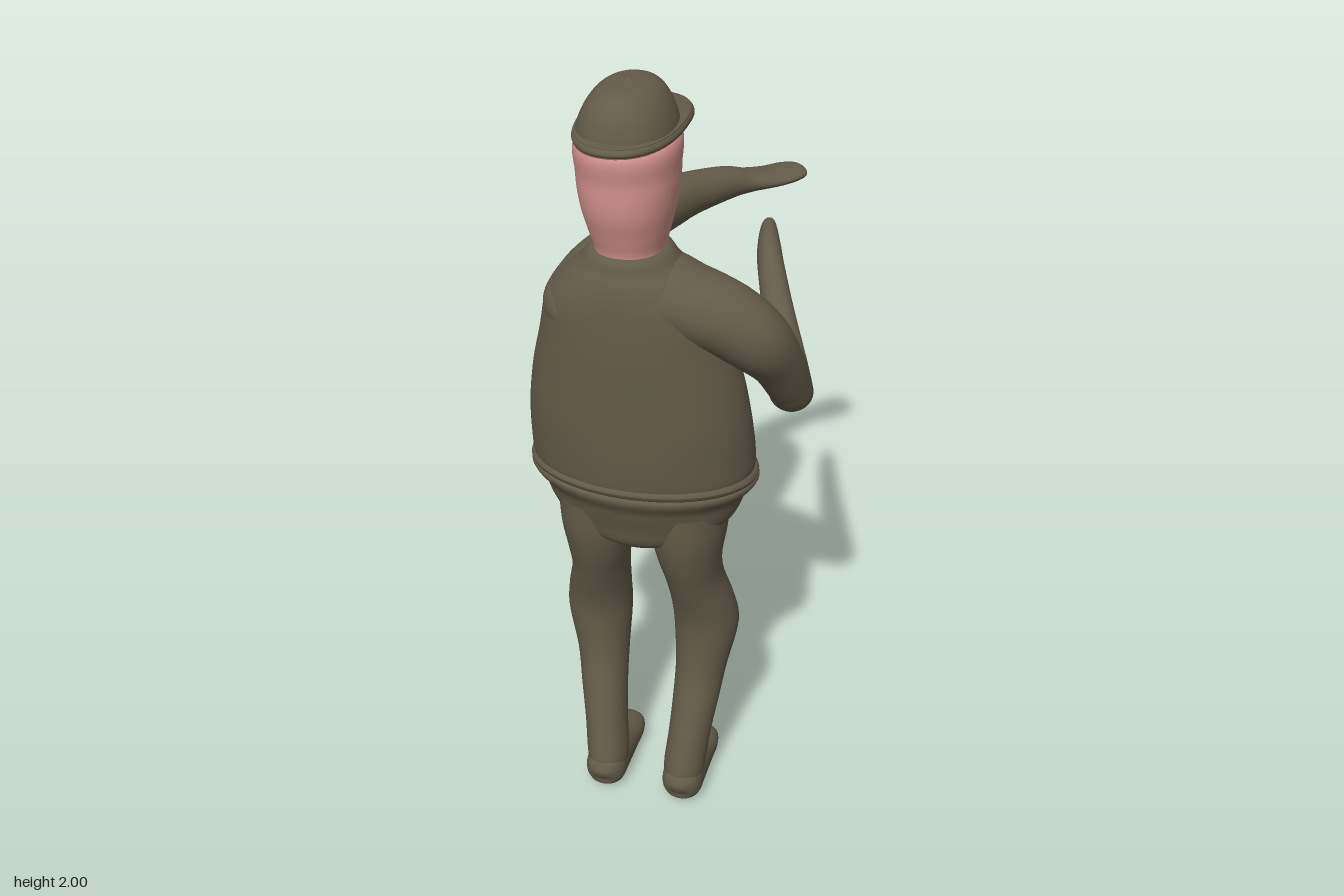
import * as THREE from 'three';

const olive = new THREE.MeshStandardMaterial({ color: 0x645c4a });
olive.name = 'olive cloth';
const skin = new THREE.MeshStandardMaterial({ color: 0xd8958f });
skin.name = 'skin';

const MID = -0.055; // the body's own centre line
const UP = new THREE.Vector3(0, 1, 0);

// Smooth closed loft through rows of [x, y, z, radiusAcross, radiusThrough].
// level = true keeps every ring horizontal (rows run upwards); otherwise rings follow the path.
// power > 2 gives boxier ovals.
function loft(rows, { level = false, power = 2, steps = 6, sides = 32 } = {}) {
  const path = new THREE.CatmullRomCurve3(rows.map(r => new THREE.Vector3(r[0], r[1], r[2])), false, 'catmullrom', 0.5);
  const size = new THREE.CatmullRomCurve3(rows.map(r => new THREE.Vector3(r[3], r[4], 0)), false, 'catmullrom', 0.5);
  const n = (rows.length - 1) * steps;
  const pos = [], index = [];
  const bend = c => Math.sign(c) * Math.pow(Math.abs(c), 2 / power);
  for (let i = 0; i <= n; i++) {
    const c = path.getPoint(i / n), s = size.getPoint(i / n);
    const t = level ? UP : path.getTangent(i / n);
    const u = level ? new THREE.Vector3(1, 0, 0) : new THREE.Vector3().crossVectors(t, UP).normalize();
    const v = new THREE.Vector3().crossVectors(t, u);
    for (let j = 0; j < sides; j++) {
      const a = j / sides * Math.PI * 2;
      const p = c.clone()
        .addScaledVector(u, bend(Math.cos(a)) * Math.max(s.x, 0.0005))
        .addScaledVector(v, bend(Math.sin(a)) * Math.max(s.y, 0.0005));
      pos.push(p.x, p.y, p.z);
      if (i < n) {
        const k = (j + 1) % sides, A = i * sides + j, B = i * sides + k;
        index.push(A, B, B + sides, A, B + sides, A + sides);
      }
    }
  }
  const g = new THREE.BufferGeometry();
  g.setAttribute('position', new THREE.Float32BufferAttribute(pos, 3));
  g.setIndex(index);
  g.computeVertexNormals();
  return g;
}

// Rows of [y, z, radiusX, radiusZ] stacked on one vertical line
const stack = (x, rows) => rows.map(([y, z, rx, rz]) => [x, y, z, rx, rz]);

export function createModel() {
  const model = new THREE.Group();
  model.name = 'figure';
  const add = (name, geometry, material = olive) => {
    const m = new THREE.Mesh(geometry, material);
    m.name = name;
    model.add(m);
    return m;
  };

  // Jacket body, tapering to the neck
  add('jacket', loft(stack(MID, [
    [1.02, 0.30, 0.24, 0.16], [1.04, 0.303, 0.268, 0.178], [1.1, 0.31, 0.271, 0.18],
    [1.2, 0.328, 0.264, 0.168], [1.3, 0.34, 0.248, 0.158], [1.4, 0.355, 0.222, 0.146],
    [1.5, 0.365, 0.198, 0.134], [1.56, 0.369, 0.155, 0.124], [1.6, 0.371, 0.112, 0.108],
    [1.632, 0.371, 0.08, 0.089], [1.64, 0.371, 0, 0],
  ]), { level: true, sides: 48 }));

  // Rolled hem, tipped slightly down towards the toes
  const hem = new THREE.TorusGeometry(1, 0.06, 12, 64).rotateX(Math.PI / 2);
  const hp = hem.attributes.position;
  for (let i = 0; i < hp.count; i++) {
    const x = hp.getX(i), y = hp.getY(i), z = hp.getZ(i), r = Math.hypot(x, z);
    const off = (r - 1) * 0.28;
    hp.setXYZ(i, MID + x / r * (0.262 + off), 1.03 + y * 0.28 + z / r * 0.014, 0.30 + z / r * (0.172 + off));
  }
  hem.computeVertexNormals();
  add('jacketHem', hem);

  // Seat of the trousers
  add('hips', loft(stack(MID, [
    [0.805, 0.315, 0, 0], [0.825, 0.314, 0.07, 0.07], [0.86, 0.31, 0.165, 0.118],
    [0.91, 0.303, 0.222, 0.14], [0.97, 0.298, 0.248, 0.162], [1.03, 0.298, 0.264, 0.174],
    [1.04, 0.298, 0, 0],
  ]), { level: true, sides: 48 }));

  // Legs and feet, mirrored about the centre line
  for (const s of [-1, 1]) {
    const X = d => MID + s * d;
    const side = s < 0 ? 'first' : 'second';
    add(side + 'Leg', loft([
      [X(0.106), 0.04, 0.345, 0.045, 0.055], [X(0.106), 0.1, 0.342, 0.054, 0.066],
      [X(0.115), 0.2, 0.32, 0.055, 0.066], [X(0.125), 0.3, 0.293, 0.06, 0.069],
      [X(0.133), 0.4, 0.265, 0.067, 0.075], [X(0.142), 0.52, 0.25, 0.082, 0.086],
      [X(0.137), 0.6, 0.263, 0.08, 0.084], [X(0.122), 0.7, 0.292, 0.072, 0.089],
      [X(0.115), 0.78, 0.313, 0.079, 0.097], [X(0.113), 0.86, 0.312, 0.093, 0.116],
      [X(0.112), 0.95, 0.305, 0.1, 0.13],
    ], { level: true }));
    add(side + 'Foot', loft([
      [X(0.106), 0.055, 0.411, 0, 0], [X(0.106), 0.058, 0.403, 0.035, 0.04],
      [X(0.106), 0.062, 0.375, 0.052, 0.056], [X(0.106), 0.061, 0.32, 0.054, 0.058],
      [X(0.106), 0.05, 0.25, 0.053, 0.046], [X(0.106), 0.045, 0.19, 0.053, 0.038],
      [X(0.106), 0.043, 0.153, 0.04, 0.028], [X(0.106), 0.043, 0.138, 0, 0],
    ], { power: 2.3 }));
  }

  // Arm stretched out ahead, palm flat
  add('outstretchedArm', loft([
    [-0.165, 1.46, 0.45, 0, 0], [-0.172, 1.465, 0.435, 0.05, 0.055], [-0.185, 1.475, 0.37, 0.075, 0.075],
    [-0.2, 1.488, 0.25, 0.052, 0.064], [-0.177, 1.488, 0.1, 0.046, 0.058], [-0.15, 1.485, -0.02, 0.046, 0.056],
    [-0.118, 1.485, -0.165, 0.056, 0.063], [-0.083, 1.483, -0.24, 0.051, 0.056],
    [-0.02, 1.475, -0.34, 0.045, 0.043], [0.022, 1.464, -0.397, 0.046, 0.03],
    [0.075, 1.459, -0.448, 0.055, 0.021], [0.115, 1.459, -0.49, 0.052, 0.019],
    [0.138, 1.459, -0.515, 0.036, 0.014], [0.148, 1.459, -0.526, 0, 0],
  ]));

  // Bent arm, elbow low and hand raised
  add('bentArm', loft([
    [-0.03, 1.53, 0.37, 0, 0], [0.0, 1.525, 0.37, 0.105, 0.085], [0.08, 1.5, 0.368, 0.1, 0.088],
    [0.16, 1.468, 0.36, 0.088, 0.085], [0.222, 1.415, 0.34, 0.078, 0.078], [0.257, 1.34, 0.29, 0.062, 0.064],
    [0.275, 1.255, 0.235, 0.053, 0.056], [0.277, 1.208, 0.198, 0.052, 0.047], [0.258, 1.25, 0.15, 0.046, 0.042],
    [0.215, 1.345, 0.075, 0.038, 0.04], [0.178, 1.425, 0.0, 0.032, 0.04], [0.162, 1.445, -0.05, 0.029, 0.045],
    [0.147, 1.46, -0.11, 0.022, 0.035], [0.141, 1.465, -0.145, 0.014, 0.02], [0.14, 1.467, -0.157, 0, 0],
  ]));

  // Head and neck
  add('head', loft(stack(MID, [
    [1.6, 0.367, 0.08, 0.09], [1.635, 0.367, 0.079, 0.09], [1.68, 0.369, 0.09, 0.103],
    [1.74, 0.37, 0.103, 0.122], [1.81, 0.369, 0.11, 0.13], [1.89, 0.368, 0.103, 0.131], [1.9, 0.368, 0, 0],
  ]), { level: true, power: 2.15, sides: 40 }), skin);

  // Cap crown and drooping brim
  add('capCrown', loft(stack(MID, [
    [1.89, 0.37, 0.109, 0.134], [1.925, 0.368, 0.1, 0.13], [1.955, 0.366, 0.086, 0.121],
    [1.98, 0.363, 0.067, 0.1], [1.994, 0.362, 0.042, 0.068], [2.0, 0.361, 0, 0],
  ]), { level: true, power: 2.2, sides: 40 }));
  const brim = loft(stack(MID, [
    [1.888, 0.326, 0, 0], [1.887, 0.326, 0.1, 0.18], [1.889, 0.326, 0.113, 0.195], [1.896, 0.326, 0.117, 0.2],
    [1.905, 0.326, 0.113, 0.194], [1.91, 0.33, 0.1, 0.17], [1.915, 0.34, 0, 0],
  ]), { level: true, power: 2.25, sides: 48 });
  const bp = brim.attributes.position;
  for (let i = 0; i < bp.count; i++) {
    bp.setY(i, bp.getY(i) - Math.max(0, 0.3 - bp.getZ(i)) * 0.09);
  }
  brim.computeVertexNormals();
  add('capBrim', brim);

  return model;
}
